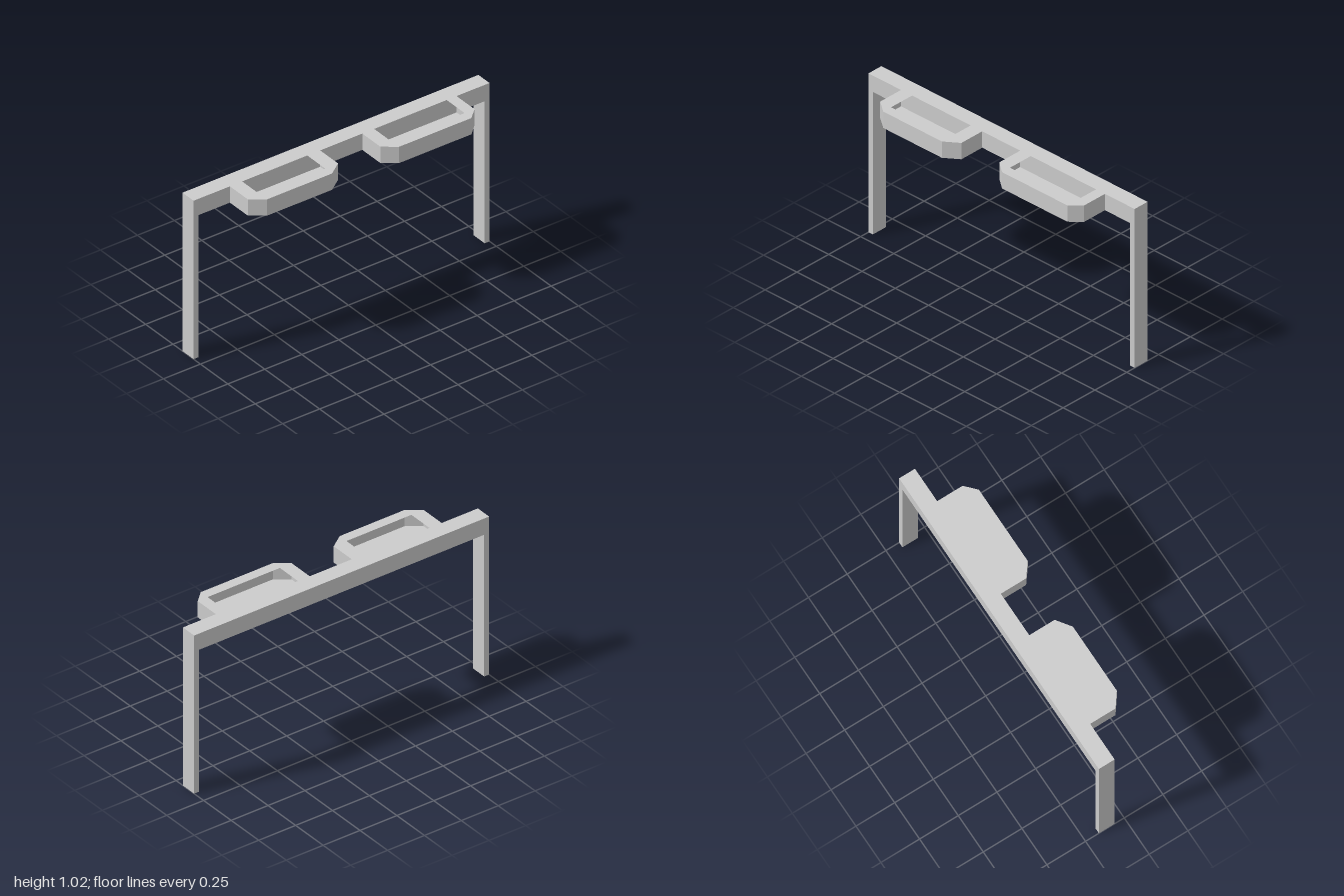
import * as THREE from 'three';

const material = new THREE.MeshStandardMaterial({ color: 0xcccccc, flatShading: true, side: THREE.DoubleSide });

const TOP = 1.02, BOTTOM = 0.915;      // upper and lower faces of beam and trays
const BACK = -0.164, FRONT = -0.062;   // depth of the beam and legs
const LEG = 0.033;

function add(parent, name, geometry, x = 0, y = 0, z = 0) {
  const mesh = new THREE.Mesh(geometry, material);
  mesh.name = name;
  mesh.position.set(x, y, z);
  parent.add(mesh);
  return mesh;
}

// Flat horizontal plate from [x, z] outline points
function plate(points, hole) {
  const toShape = p => p.map(([x, z]) => new THREE.Vector2(x, -z));
  const shape = new THREE.Shape(toShape(points));
  if (hole) shape.holes.push(new THREE.Path(toShape(hole)));
  return new THREE.ShapeGeometry(shape).rotateX(-Math.PI / 2);
}

// Hollow thin-walled tray with chamfered front corners and a rectangular opening
function createTray(name, x0, x1, inner0, inner1) {
  const tray = new THREE.Group();
  tray.name = name;
  const zEdge = 0.164, zChamfer = 0.102;
  const outline = [
    [x0, FRONT], [x0, zChamfer], [inner0, zEdge],
    [inner1, zEdge], [x1, zChamfer], [x1, FRONT],
  ];
  const opening = [[inner0, FRONT], [inner0, zChamfer], [inner1, zChamfer], [inner1, FRONT]];

  // The rim is a front strip and two sides, so its opening reaches the beam
  const rim = [...outline, ...opening.slice().reverse()];
  add(tray, 'trayRim', plate(rim), 0, TOP, 0);
  add(tray, 'trayFloor', plate(outline), 0, BOTTOM, 0);

  // Outer walls, one per outline segment
  for (let i = 0; i < outline.length - 1; i++) {
    const [ax, az] = outline[i], [bx, bz] = outline[i + 1];
    const wall = add(tray, 'trayWall',
      new THREE.PlaneGeometry(Math.hypot(bx - ax, bz - az), TOP - BOTTOM),
      (ax + bx) / 2, (TOP + BOTTOM) / 2, (az + bz) / 2);
    wall.rotation.y = Math.atan2(az - bz, bx - ax);
  }
  return tray;
}

export function createModel() {
  const model = new THREE.Group();
  model.name = 'trayStand';
  const depth = FRONT - BACK, zMid = (FRONT + BACK) / 2;

  // Cross beam
  add(model, 'beam', new THREE.BoxGeometry(2, TOP - BOTTOM, depth), 0, (TOP + BOTTOM) / 2, zMid);

  // Legs at both ends
  for (const side of [-1, 1]) {
    add(model, side > 0 ? 'leftLeg' : 'rightLeg',
      new THREE.BoxGeometry(LEG, BOTTOM, depth), side * (1 - LEG / 2), BOTTOM / 2, zMid);
  }

  // Two trays on the front of the beam
  model.add(createTray('rightTray', -0.755, -0.145, -0.672, -0.232));
  model.add(createTray('leftTray', 0.14, 0.777, 0.22, 0.71));
  return model;
}
